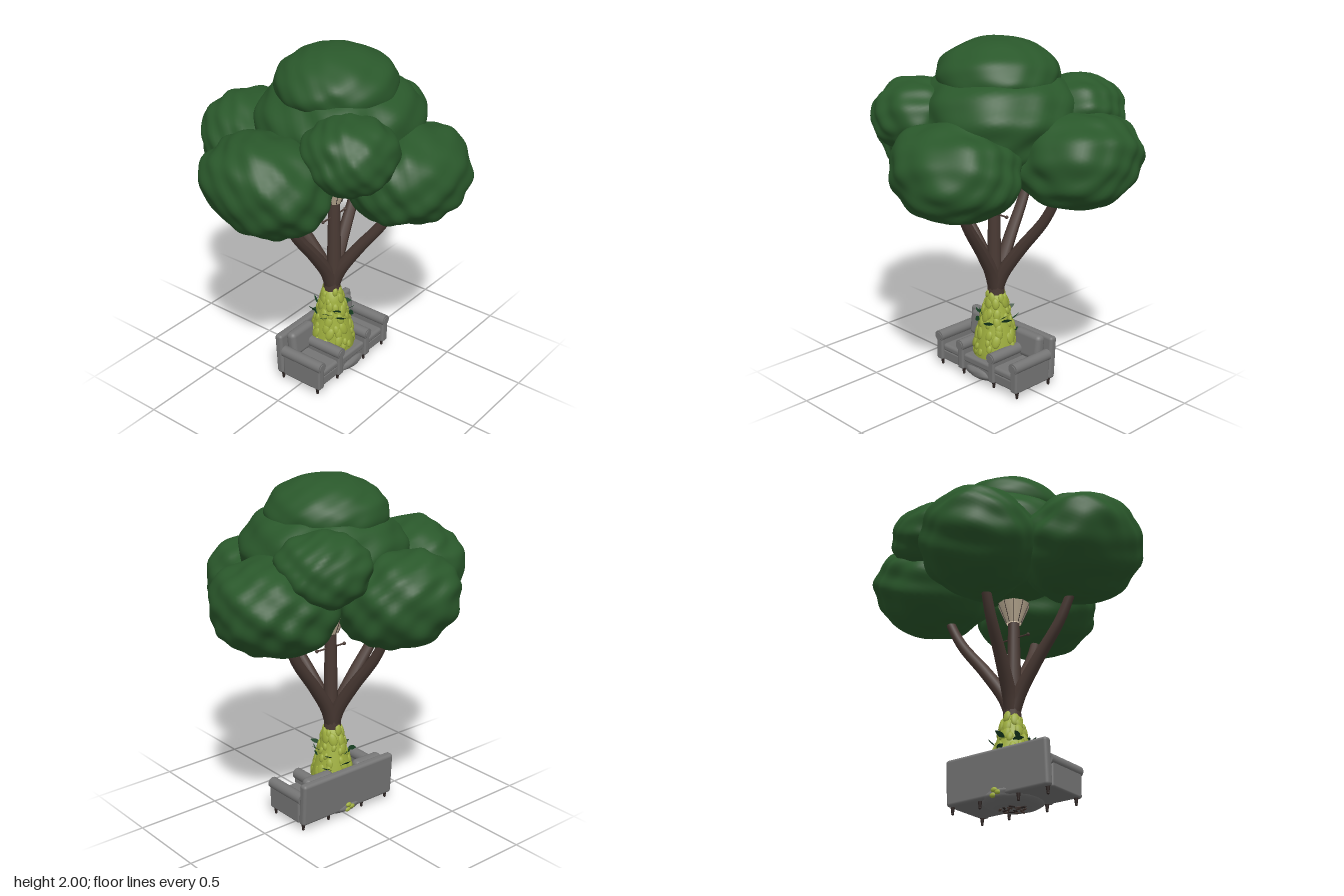
import * as THREE from 'three';
import { mergeVertices } from 'three/addons/utils/BufferGeometryUtils.js';
import { RoundedBoxGeometry } from 'three/addons/geometries/RoundedBoxGeometry.js';

const mat = (name, color, side = THREE.FrontSide) => {
  const m = new THREE.MeshStandardMaterial({ color, side });
  m.name = name;
  return m;
};

export function createModel() {
  const model = new THREE.Group();
  model.name = 'sofaTree';
  const foliage = mat('foliage green', 0x2a582b);
  const bark = mat('bark brown', 0x4a3a34);
  const moss = mat('moss yellow green', 0x9cac3d);
  const sprout = mat('sprout dark green', 0x173f22, THREE.DoubleSide);
  const fabric = mat('fabric grey', 0x757575);
  const darkWood = mat('dark wood', 0x2f2624);
  const shade = mat('shade beige', 0xcdbca2, THREE.DoubleSide);

  let seed = 7;
  const rand = () => (seed = (seed * 16807) % 2147483647) / 2147483647;
  const v = (x, y, z) => new THREE.Vector3(x, y, z);

  function add(parent, name, geometry, material, x = 0, y = 0, z = 0) {
    const mesh = new THREE.Mesh(geometry, material);
    mesh.name = name;
    mesh.position.set(x, y, z);
    parent.add(mesh);
    return mesh;
  }
  function group(name) {
    const g = new THREE.Group();
    g.name = name;
    model.add(g);
    return g;
  }

  // Lumpy rounded mass: squared ellipsoid, layered ripples, optional outward lean
  function lump([rx, ry, rz], phase, { rough = 1, power = 2.2, leanX = 0, leanZ = 0, detail = 15 }) {
    let g = new THREE.IcosahedronGeometry(1, detail);
    g.deleteAttribute('uv');
    g.deleteAttribute('normal');
    g = mergeVertices(g, 1e-4);
    const p = g.attributes.position;
    for (let i = 0; i < p.count; i++) {
      const d = v(p.getX(i), p.getY(i), p.getZ(i)).normalize();
      const k = Math.pow(Math.abs(d.x) ** power + Math.abs(d.y) ** power + Math.abs(d.z) ** power, -1 / power);
      const wave = 0.03 * Math.sin(4 * d.x + 3 * d.y + phase) * Math.cos(4 * d.z - phase)
        + 0.03 * Math.sin(8 * d.x + phase * 2 + 3 * d.z) * Math.sin(7 * d.y - phase + 2 * d.x)
        + 0.026 * Math.sin(11 * d.z + 6 * d.x - phase) * Math.cos(10 * d.y + 5 * d.z);
      const s = k * (1 + rough * wave);
      p.setXYZ(i, d.x * s * rx + leanX * d.y, d.y * s * ry, d.z * s * rz + leanZ * d.y);
    }
    g.computeVertexNormals();
    return g;
  }

  // Canopy: centre, radii and shape of each leaf mass
  const canopy = group('canopy');
  [
    ['leftLowerFoliage', [-0.5, 1.395, -0.03], [0.31, 0.275, 0.35], { leanX: -0.05 }],
    ['frontFoliage', [0.125, 1.36, 0.425], [0.36, 0.26, 0.31], {}],
    ['rightLowerFoliage', [0.49, 1.395, -0.12], [0.33, 0.255, 0.33], { leanX: 0.02 }],
    ['backFoliage', [-0.1, 1.385, -0.43], [0.32, 0.27, 0.31], { leanZ: -0.05 }],
    ['frontUpperFoliage', [-0.26, 1.58, 0.32], [0.25, 0.2, 0.25], {}],
    ['backUpperFoliage', [0.32, 1.6, -0.31], [0.25, 0.195, 0.24], {}],
    ['centreFoliage', [0.05, 1.575, 0.02], [0.44, 0.29, 0.45], { rough: 0.8 }],
    ['topFoliage', [0.03, 1.8, 0.01], [0.335, 0.2, 0.335], { rough: 0.5, power: 2 }],
  ].forEach(([name, centre, radii, shape], i) =>
    add(canopy, name, lump(radii, i * 1.7 + 0.4, shape), foliage, ...centre));

  // Tapered branch: rings swept along a curve by reshaping a tube
  function branch(points, r0, r1) {
    const curve = new THREE.CatmullRomCurve3(points);
    const n = 20, sides = 10;
    const g = new THREE.TubeGeometry(curve, n, 1, sides, false);
    const p = g.attributes.position;
    for (let i = 0; i < p.count; i++) {
      const t = Math.floor(i / (sides + 1)) / n;
      const c = curve.getPointAt(t);
      const q = v(p.getX(i), p.getY(i), p.getZ(i)).sub(c).multiplyScalar(r0 + (r1 - r0) * t).add(c);
      p.setXYZ(i, q.x, q.y, q.z);
    }
    g.computeVertexNormals();
    return g;
  }

  // Trunk and spreading branches
  const trunk = group('trunk');
  add(trunk, 'lowerTrunk', new THREE.CylinderGeometry(0.046, 0.062, 0.6, 14), bark, 0, 0.37, 0);
  add(trunk, 'centreTrunk', new THREE.CylinderGeometry(0.033, 0.043, 0.45, 12), bark, 0, 0.87, 0.015);
  [
    ['leftLimb', -0.43, 0.0], ['rightLimb', 0.41, -0.09],
    ['frontLimb', 0.1, 0.39], ['backLimb', -0.09, -0.38],
  ].forEach(([name, x, z]) => add(trunk, name, branch([
    v(0, 0.54, 0), v(x * 0.11, 0.65, z * 0.11), v(x * 0.39, 0.82, z * 0.39),
    v(x * 0.76, 1.02, z * 0.76), v(x, 1.22, z)], 0.043, 0.025), bark));

  // Lamp hidden among the limbs: ribbed shade and cross bar
  const lamp = group('lamp');
  lamp.position.z = 0.015;
  add(lamp, 'lampShade', new THREE.CylinderGeometry(0.092, 0.042, 0.12, 10, 1, true), shade, 0, 1.155, 0);
  for (let i = 0; i < 10; i++) {
    const a = (i / 10) * Math.PI * 2;
    const path = new THREE.LineCurve3(v(Math.sin(a) * 0.042, 1.095, Math.cos(a) * 0.042),
      v(Math.sin(a) * 0.092, 1.215, Math.cos(a) * 0.092));
    add(lamp, 'shadeRib', new THREE.TubeGeometry(path, 1, 0.002, 5), darkWood);
  }
  const bar = add(lamp, 'crossBar', new THREE.CylinderGeometry(0.005, 0.005, 0.2, 8), bark, 0, 1.005, 0);
  bar.rotation.z = Math.PI / 2;
  for (const s of [-1, 1]) add(lamp, 'barKnob', new THREE.SphereGeometry(0.01, 10, 8), bark, s * 0.1, 1.005, 0);

  // Mossy mound with large irregular scales
  const mound = group('mossMound');
  const profile = [[0, 0.06], [0.12, 0.06], [0.132, 0.15], [0.126, 0.22], [0.11, 0.3],
    [0.088, 0.38], [0.066, 0.46], [0.05, 0.52], [0, 0.525]].map(([r, y]) => new THREE.Vector2(r, y));
  add(mound, 'mossCore', new THREE.LatheGeometry(profile, 28), moss);
  const radiusAt = (y) => (y < 0.22 ? 0.128 : 0.128 - (y - 0.22) * 0.255);
  const scaleShape = new THREE.SphereGeometry(1, 12, 8);
  for (let row = 0; row < 9; row++) {
    const count = 11 - Math.floor(row * 0.6);
    for (let i = 0; i < count; i++) {
      const a = ((i + (row % 2) / 2 + rand() * 0.6) / count) * Math.PI * 2;
      const y = 0.17 + row * 0.042 + (rand() - 0.5) * 0.03, r = radiusAt(y) - 0.002;
      const s = add(mound, 'mossScale', scaleShape, moss, Math.sin(a) * r, y, Math.cos(a) * r);
      s.rotation.order = 'YXZ';
      s.rotation.set(-0.22, a, (rand() - 0.5) * 0.6);
      const size = 0.7 + rand() * 0.6;
      s.scale.set(0.02 * size, 0.031 * size, 0.012);
    }
  }
  // Moss showing under the sofa back
  for (const [x, y] of [[-0.02, 0.062], [0.012, 0.05], [0.005, 0.078]])
    add(mound, 'rearMoss', scaleShape, moss, x, y, -0.152).scale.set(0.02, 0.014, 0.012);

  // Dark leaves sprouting from the mound
  const leafShape = new THREE.Shape();
  leafShape.moveTo(0, 0);
  leafShape.quadraticCurveTo(0.03, 0.025, 0, 0.065);
  leafShape.quadraticCurveTo(-0.03, 0.025, 0, 0);
  const leafGeo = new THREE.ShapeGeometry(leafShape, 5);
  for (let i = 0; i < 14; i++) {
    const a = 0.2 + (i / 14) * Math.PI * 2, y = 0.29 + rand() * 0.11, r = radiusAt(y) + 0.006;
    const leaf = add(mound, 'sproutLeaf', leafGeo, sprout, Math.sin(a) * r, y, Math.cos(a) * r);
    leaf.rotation.order = 'YXZ';
    leaf.rotation.set(0.5 + rand() * 0.6, a + (rand() - 0.5), (i % 2 ? 1 : -1) * (0.9 + rand() * 0.6));
  }

  // Sofa: base, back, cushions, rolled arms and turned legs
  const sofa = group('sofa');
  const box = (name, w, h, d, x, y, z, r = 0.012) =>
    add(sofa, name, new RoundedBoxGeometry(w, h, d, 3, r), fabric, x, y, z);
  box('sofaBase', 0.65, 0.065, 0.29, 0, 0.079, 0.01);
  box('sofaBack', 0.67, 0.258, 0.05, 0, 0.174, -0.13, 0.018).rotation.x = -0.06;
  for (const s of [-1, 1]) {
    box('seatCushion', 0.17, 0.045, 0.25, s * 0.205, 0.128, 0.035, 0.018);
    box('backCushion', 0.2, 0.155, 0.065, s * 0.185, 0.229, -0.085, 0.028).rotation.x = -0.12;
    for (const [name, x, w] of [['outerArm', 0.308, 0.05], ['innerArm', 0.128, 0.046]]) {
      box(name, w, 0.16, 0.27, s * x, 0.126, 0.035);
      const roll = add(sofa, name + 'Roll', new THREE.CylinderGeometry(0.033, 0.033, 0.28, 18),
        fabric, s * x, 0.196, 0.032);
      const disc = add(sofa, name + 'Disc', new THREE.CylinderGeometry(0.024, 0.024, 0.006, 16),
        fabric, s * x, 0.196, 0.174);
      roll.rotation.x = disc.rotation.x = Math.PI / 2;
    }
    for (const x of [0.312, 0.126]) for (const z of [0.14, -0.115]) {
      add(sofa, 'sofaLeg', new THREE.CylinderGeometry(0.013, 0.006, 0.046, 10), darkWood, s * x, 0.029, z);
      add(sofa, 'legFoot', new THREE.SphereGeometry(0.008, 8, 6), darkWood, s * x, 0.011, z);
    }
  }
  box('centreSeat', 0.22, 0.05, 0.27, 0, 0.122, 0.025, 0.015);

  // Round footing below the sofa, with root ends showing underneath
  const footing = group('footing');
  add(footing, 'footingBoulder', lump([0.162, 0.054, 0.166], 2.2, { rough: 0.4, power: 2.4, detail: 8 }),
    fabric, 0, 0.062, 0.01);
  for (let i = 0; i < 16; i++) {
    const a = i * 2.4, r = 0.018 * Math.sqrt(i + 1);
    const root = add(footing, 'rootEnd', new THREE.CapsuleGeometry(0.007, 0.022, 3, 8),
      i % 3 ? bark : darkWood, Math.sin(a) * r, 0.009, Math.cos(a) * r + 0.01);
    root.rotation.set(Math.PI / 2, 0, a);
  }
  return model;
}
